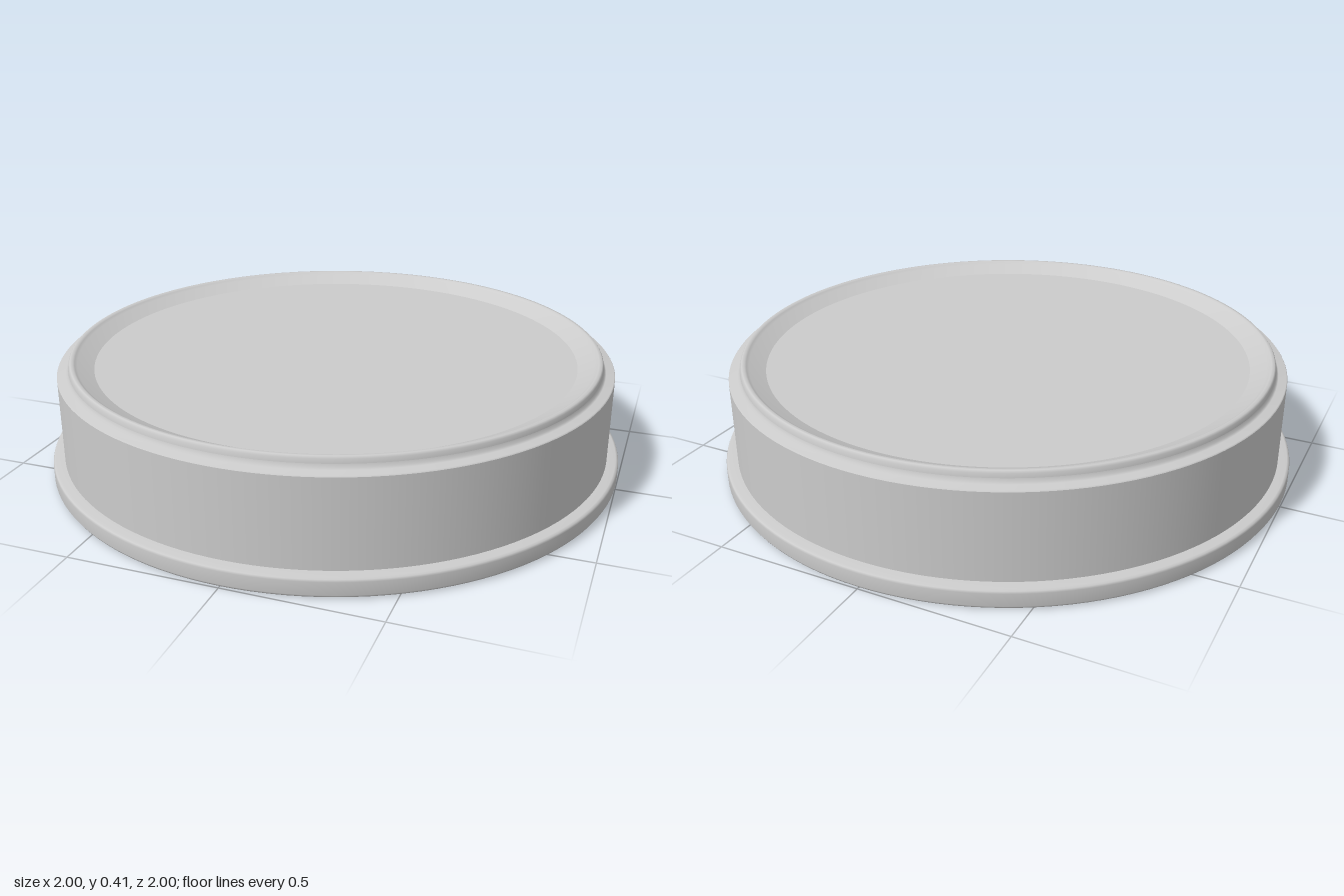
import * as THREE from 'three';

const SEGMENTS = 128;

export function createModel() {
  const group = new THREE.Group();
  const material = new THREE.MeshStandardMaterial({ color: 0xcccccc });

  const add = (name, geometry, y = 0) => {
    const mesh = new THREE.Mesh(geometry, material);
    mesh.name = name;
    mesh.position.y = y;
    group.add(mesh);
  };
  // Revolve a [radius, height] profile, listed from bottom to top
  const revolve = (name, profile) =>
    add(name, new THREE.LatheGeometry(profile.map(([r, y]) => new THREE.Vector2(r, y)), SEGMENTS));
  const disc = (name, radius, y, facing) =>
    add(name, new THREE.CircleGeometry(radius, SEGMENTS).rotateX(-facing * Math.PI / 2), y);

  // Flat underside
  disc('underside', 0.985, 0, -1);

  // Projecting foot flange with softened edges
  revolve('baseFlange', [
    [0.985, 0], [0.995, 0.004], [1, 0.012], [1, 0.055], [0.997, 0.062], [0.99, 0.065], [0.96, 0.068],
  ]);

  // Straight drum wall
  revolve('drumWall', [[0.96, 0.066], [0.96, 0.362]]);

  // Shoulder stepping in to the raised rim, with a small cove
  revolve('shoulder', [
    [0.96, 0.362], [0.957, 0.366], [0.93, 0.369], [0.924, 0.374], [0.921, 0.384],
  ]);

  // Raised rim, rolling over and sloping down to the recessed panel
  revolve('rim', [
    [0.921, 0.384], [0.919, 0.398], [0.914, 0.405], [0.904, 0.405], [0.898, 0.401],
    [0.89, 0.395], [0.836, 0.37],
  ]);

  // Recessed top panel
  disc('topPanel', 0.836, 0.37, 1);

  return group;
}
